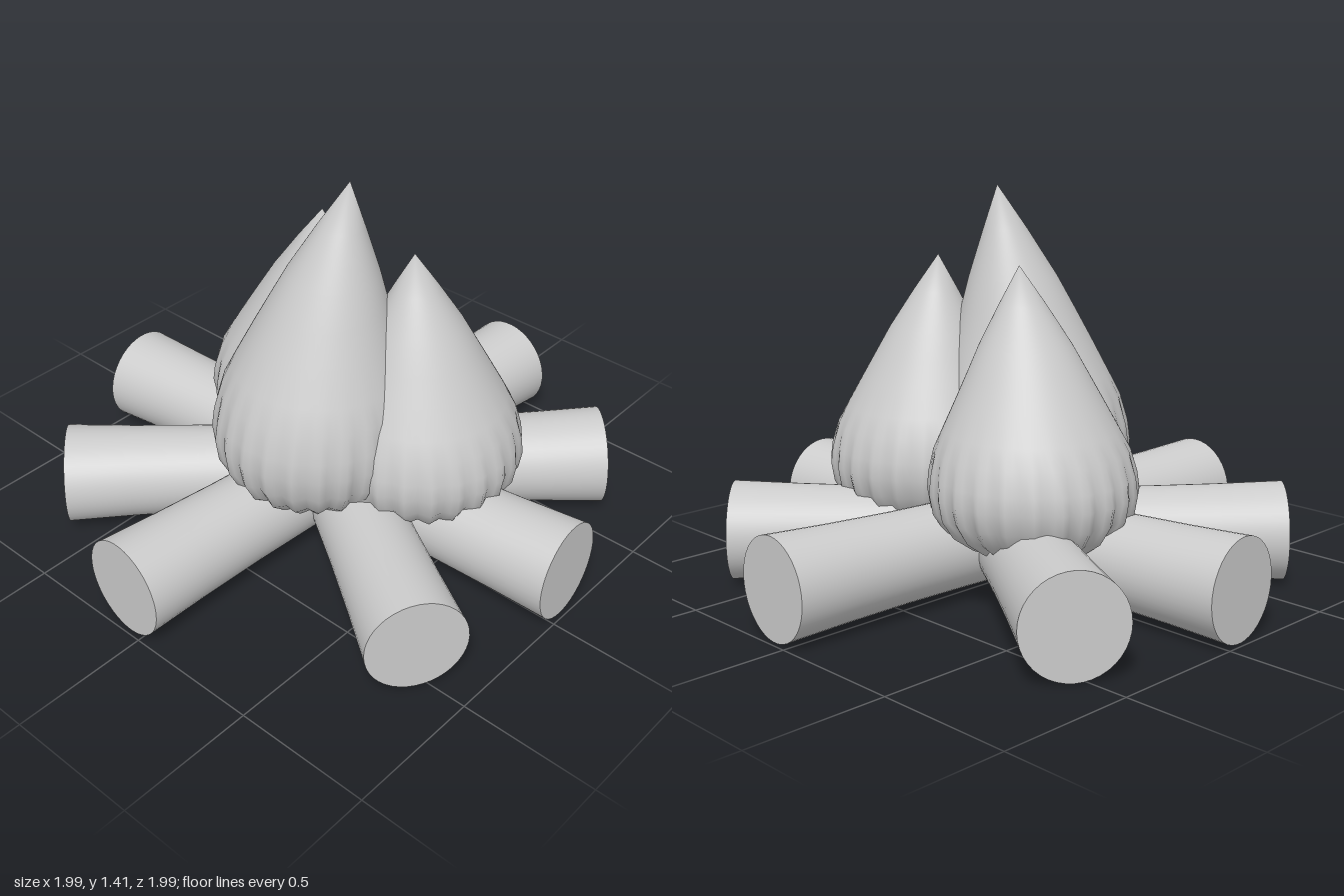
import * as THREE from 'three';
import { mergeVertices, toCreasedNormals } from 'three/addons/utils/BufferGeometryUtils.js';

const material = new THREE.MeshStandardMaterial({ color: 0xcccccc });
const points = (list) => list.map(([r, y]) => new THREE.Vector2(r, y));

// Log lying along z, slightly waisted in the middle, with flat ends
function logGeometry() {
  const half = [[0.155, 0], [0.156, 0.25], [0.159, 0.5], [0.167, 0.75], [0.178, 0.985], [0, 0.985]];
  const mirrored = half.slice(1).reverse().map(([r, y]) => [r, -y]);
  const geometry = new THREE.LatheGeometry(points([...mirrored, ...half]), 40);
  geometry.rotateX(Math.PI / 2);
  return toCreasedNormals(geometry, 0.6);
}

// Teardrop flame: fluted round bottom, pointed tip leaning away from the base centre
function flameGeometry(base, tip, bottom, top) {
  const profile = [
    [0, 0], [0.12, 0.015], [0.22, 0.05], [0.295, 0.105], [0.338, 0.17], [0.353, 0.24], [0.35, 0.3],
    [0.333, 0.38], [0.3, 0.45], [0.25, 0.55], [0.205, 0.64], [0.158, 0.735], [0.08, 0.87], [0, 1],
  ];
  const flutes = 24;
  let geometry = new THREE.LatheGeometry(points(profile), flutes * 4);
  const pos = geometry.attributes.position;
  for (let i = 0; i < pos.count; i++) {
    const x = pos.getX(i), t = pos.getY(i), z = pos.getZ(i);
    const depth = 0.06 * Math.max(0, 1 - t / 0.42);
    const ridge = 1 + depth * Math.cos(flutes * Math.atan2(x, z));
    const lean = Math.pow(Math.max(0, (t - 0.2) / 0.8), 1.5);
    pos.setXYZ(
      i,
      x * ridge + THREE.MathUtils.lerp(base[0], tip[0], lean),
      THREE.MathUtils.lerp(bottom, top, t),
      z * ridge + THREE.MathUtils.lerp(base[1], tip[1], lean)
    );
  }
  geometry.deleteAttribute('uv');
  geometry.deleteAttribute('normal');
  geometry = mergeVertices(geometry, 1e-5);
  geometry.computeVertexNormals();
  return geometry;
}

export function createModel() {
  const model = new THREE.Group();
  model.name = 'campfire';

  // Four logs crossing at the centre, each given by the x, z of one end
  const logs = new THREE.Group();
  logs.name = 'logs';
  const log = logGeometry();
  const ends = [[-0.075, 0.98], [0.985, -0.08], [0.695, -0.7], [0.827, 0.535]];
  ends.forEach(([x, z], i) => {
    const mesh = new THREE.Mesh(log, material);
    mesh.name = `log${i + 1}`;
    mesh.position.y = 0.18;
    mesh.rotation.y = Math.atan2(x, z);
    logs.add(mesh);
  });
  model.add(logs);

  // Three flames: base x z, tip x z, bottom and top heights
  const flames = new THREE.Group();
  flames.name = 'flames';
  [
    ['frontFlame', [0.045, 0.165], [0.11, 0.055], 0.19, 1.41],
    ['rightFlame', [-0.24, -0.115], [-0.15, -0.095], 0.17, 1.16],
    ['leftFlame', [0.33, -0.085], [0.29, -0.065], 0.17, 1.16],
  ].forEach(([name, base, tip, bottom, top]) => {
    const mesh = new THREE.Mesh(flameGeometry(base, tip, bottom, top), material);
    mesh.name = name;
    flames.add(mesh);
  });
  model.add(flames);

  return model;
}
